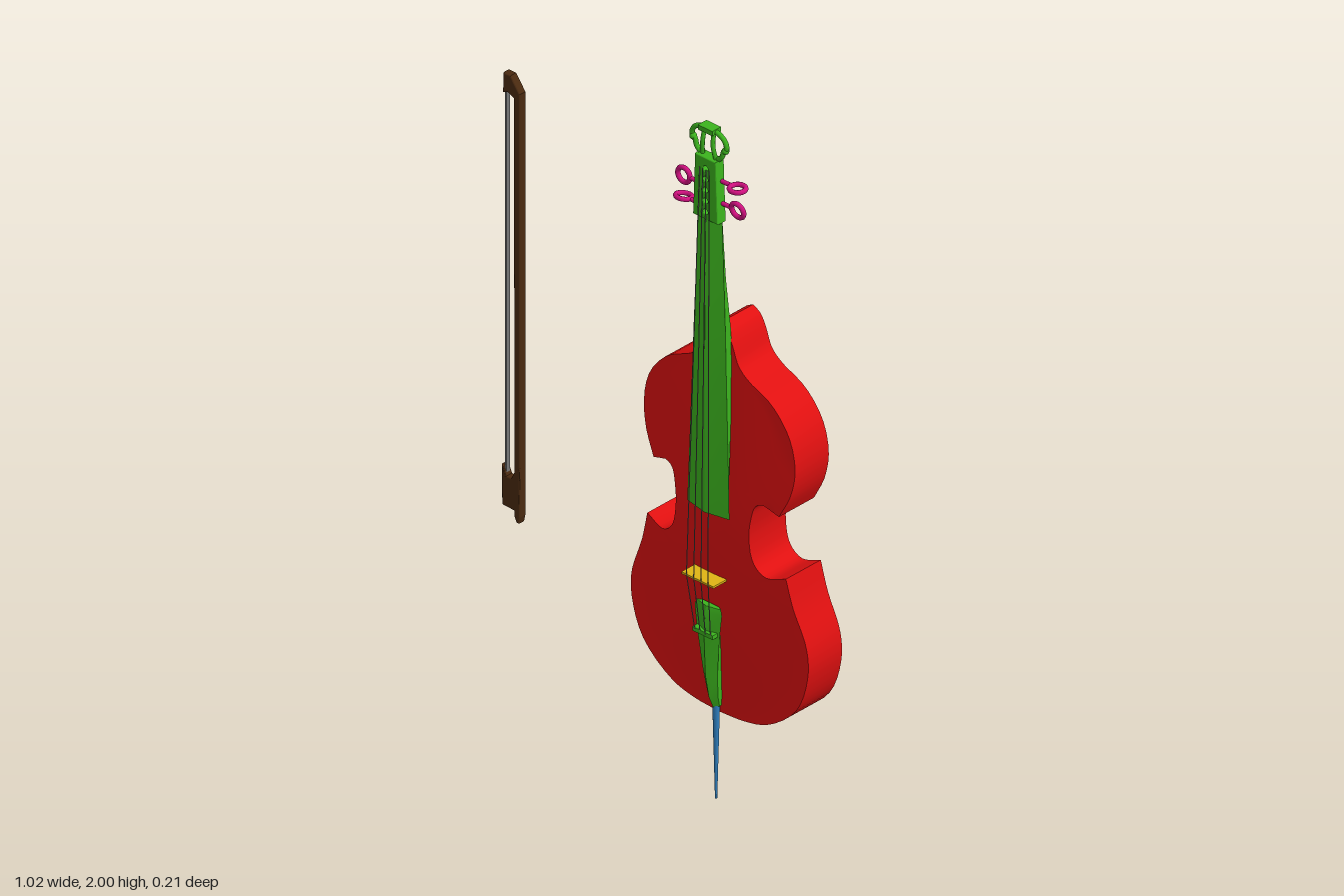
import * as THREE from 'three';
import { toCreasedNormals } from 'three/addons/utils/BufferGeometryUtils.js';

const paint = (color) => new THREE.MeshStandardMaterial({ color, side: THREE.DoubleSide });
const RED = paint(0xe01010), GREEN = paint(0x3cb41e), PINK = paint(0xd0107f), YELLOW = paint(0xe0b414);
const BLUE = paint(0x2f80c0), BROWN = paint(0x4a2a10), GREY = paint(0x777777);
const V = (x, y, z) => new THREE.Vector3(x, y, z);

function add(parent, name, geometry, material, x = 0, y = 0, z = 0) {
  const mesh = new THREE.Mesh(geometry, material);
  mesh.name = name;
  mesh.position.set(x, y, z);
  parent.add(mesh);
  return mesh;
}

// Collects triangles and quads, then smooths all but the sharp edges
function surface(build, crease) {
  const pos = [];
  const tri = (...p) => p.forEach((v) => pos.push(v.x, v.y, v.z));
  const quad = (a, b, c, d, flip) => {
    if (flip) [b, d] = [d, b];
    tri(a, b, c);
    tri(a, c, d);
  };
  build(quad, tri);
  const g = new THREE.BufferGeometry();
  g.setAttribute('position', new THREE.Float32BufferAttribute(pos, 3));
  g.computeVertexNormals();
  return toCreasedNormals(g, crease);
}

// Straight thin rod between two points
function rod(parent, name, a, b, r, material) {
  const mesh = add(parent, name, new THREE.CylinderGeometry(r, r, a.distanceTo(b), 8), material);
  mesh.position.copy(a).lerp(b, 0.5);
  mesh.quaternion.setFromUnitVectors(V(0, 1, 0), b.clone().sub(a).normalize());
}

// Half outline: x, y and the height on the centre line it joins across the plate
function bodyGeometry() {
  const bouts = [
    [[0, 0.25, 0.25], [0.085, 0.256, 0.26], [0.165, 0.278, 0.29], [0.265, 0.36, 0.37], [0.305, 0.47, 0.45],
      [0.303, 0.55, 0.5], [0.262, 0.66, 0.56], [0.24, 0.745, 0.6]],
    [[0.24, 0.745, 0.6], [0.18, 0.727, 0.66], [0.142, 0.755, 0.72], [0.127, 0.82, 0.8], [0.131, 0.88, 0.87],
      [0.145, 0.925, 0.92], [0.175, 0.936, 0.96], [0.217, 0.92, 1.0]],
    [[0.217, 0.92, 1.0], [0.25, 0.99, 1.04], [0.262, 1.07, 1.09], [0.24, 1.16, 1.16], [0.18, 1.23, 1.22],
      [0.1, 1.27, 1.27], [0.065, 1.3, 1.3], [0.045, 1.35, 1.34], [0.025, 1.385, 1.38], [0, 1.4, 1.4]],
  ];
  const outline = bouts.flatMap((b, i) => {
    const pts = new THREE.CatmullRomCurve3(b.map((p) => V(...p)), false, 'centripetal').getPoints(28);
    return i ? pts.slice(1) : pts;
  });
  // Front is arched, back is slightly dished
  const dome = (x, y) => Math.max(0, 1 - Math.hypot(x / 0.31, (y - 0.78) / 0.53) ** 1.3);
  const front = (x, y) => V(x, y, 0.02 + 0.04 * dome(x, y));
  const back = (x, y) => V(x, y, -0.105 + 0.022 * dome(x, y));
  const steps = 8;
  return surface((quad) => {
    for (const s of [1, -1]) {
      for (let i = 0; i < outline.length - 1; i++) {
        const at = (k, j, plate) => {
          const p = outline[k], t = j / steps;
          return plate(s * p.x * (1 - t), p.y + (p.z - p.y) * t);
        };
        for (let j = 0; j < steps; j++) {
          for (const plate of [front, back]) {
            quad(at(i, j, plate), at(i + 1, j, plate), at(i + 1, j + 1, plate), at(i, j + 1, plate),
              (s > 0) !== (plate === front));
          }
        }
        quad(at(i, 0, front), at(i, 0, back), at(i + 1, 0, back), at(i + 1, 0, front), s < 0);
      }
    }
  }, 0.6);
}

// Ridged bar lofted upwards: [y, half width, ridge z, edge z, back z]
function ridgedBar(sections) {
  const rings = sections.map(([y, w, ridge, edge, rear]) =>
    [[-w, edge], [0, ridge], [w, edge], [w * 0.65, rear], [-w * 0.65, rear]].map(([x, z]) => V(x, y, z)));
  return surface((quad, tri) => {
    for (let i = 0; i < rings.length - 1; i++) {
      for (let k = 0; k < 5; k++) {
        const n = (k + 1) % 5;
        quad(rings[i][k], rings[i][n], rings[i + 1][n], rings[i + 1][k]);
      }
    }
    const low = rings[0], top = rings[rings.length - 1];
    for (let k = 1; k < 4; k++) {
      tri(low[0], low[k + 1], low[k]);
      tri(top[0], top[k], top[k + 1]);
    }
  }, 0.4);
}

function plate(points, depth, bevel = 0, holes = []) {
  const shape = new THREE.Shape(points.map(([x, y]) => new THREE.Vector2(x, y)));
  for (const [x, y, r] of holes) shape.holes.push(new THREE.Path().absarc(x, y, r, 0, Math.PI * 2, true));
  return new THREE.ExtrudeGeometry(shape, {
    depth: depth - 2 * bevel, bevelEnabled: bevel > 0, bevelSize: bevel, bevelThickness: bevel,
    bevelOffset: -bevel, bevelSegments: 3, curveSegments: 8,
  }).translate(0, 0, bevel);
}

function tube(points, r) {
  return new THREE.TubeGeometry(new THREE.CatmullRomCurve3(points), 20, r, 8);
}

export function createModel() {
  const model = new THREE.Group();

  const instrument = new THREE.Group();
  instrument.name = 'instrument';
  instrument.position.x = 0.2;
  model.add(instrument);

  add(instrument, 'body', bodyGeometry(), RED);

  // Neck with fingerboard
  add(instrument, 'neck', ridgedBar([
    [0.865, 0.073, 0.077, 0.062, 0.052], [0.95, 0.07, 0.077, 0.061, 0.045], [1.3, 0.058, 0.076, 0.058, 0.012],
    [1.4, 0.055, 0.075, 0.057, 0.017], [1.55, 0.049, 0.074, 0.056, 0.031], [1.73, 0.043, 0.074, 0.056, 0.04],
  ]), GREEN);

  // Pegbox with a row of openings
  const holes = [0, 1, 2, 3, 4].map((i) => [0, 1.752 + i * 0.032, 0.008]);
  add(instrument, 'pegbox', plate([[-0.043, 1.73], [0.043, 1.73], [0.036, 1.912], [-0.036, 1.912]], 0.032, 0.003, holes),
    GREEN, 0, 0, 0.042);

  // Open carved head
  const head = new THREE.Group();
  head.name = 'head';
  instrument.add(head);
  for (const s of [-1, 1]) {
    add(head, 'headCurl', tube([V(s * 0.03, 1.912, 0.058), V(s * 0.044, 1.925, 0.058), V(s * 0.05, 1.945, 0.058),
      V(s * 0.06, 1.955, 0.058), V(s * 0.052, 1.977, 0.058), V(s * 0.025, 1.991, 0.058), V(0, 1.993, 0.058)], 0.007), GREEN);
    add(head, 'headBar', tube([V(s * 0.024, 1.905, 0.058), V(s * 0.018, 1.95, 0.064), V(s * 0.016, 1.99, 0.058)], 0.006), GREEN);
    add(head, 'headKnob', new THREE.SphereGeometry(0.01, 12, 8), GREEN, s * 0.056, 1.948, 0.058);
  }
  add(head, 'headCap', new THREE.BoxGeometry(0.05, 0.014, 0.032), GREEN, 0, 1.993, 0.058);

  // Pegs: side, height, turn of the ring
  for (const [s, y, turn] of [[-1, 1.815, 0], [-1, 1.752, 1.4], [1, 1.85, Math.PI / 2], [1, 1.785, 0.15]]) {
    const peg = new THREE.Group();
    peg.name = 'peg';
    peg.position.set(0, y, 0.053);
    peg.rotation.x = turn;
    instrument.add(peg);
    rod(peg, 'pegShaft', V(s * 0.015, 0, 0), V(s * 0.074, 0, 0), 0.006, PINK);
    add(peg, 'pegRing', new THREE.TorusGeometry(0.021, 0.007, 8, 24), PINK, s * 0.093, 0, 0);
  }

  // Tailpiece and end pin
  add(instrument, 'tailpiece', ridgedBar([
    [0.275, 0.012, 0.045, 0.033, 0.018], [0.31, 0.018, 0.06, 0.045, 0.02], [0.38, 0.025, 0.073, 0.055, 0.03],
    [0.5, 0.039, 0.078, 0.062, 0.045], [0.57, 0.047, 0.074, 0.062, 0.05], [0.585, 0.042, 0.07, 0.06, 0.052],
  ]), GREEN);
  add(instrument, 'tailpieceRail', new THREE.BoxGeometry(0.07, 0.012, 0.018), GREEN, 0, 0.51, 0.075);
  add(instrument, 'endPin', new THREE.CylinderGeometry(0.01, 0.003, 0.28, 12), BLUE, 0, 0.14, 0.033);

  // Bridge and strings
  add(instrument, 'bridge', new THREE.BoxGeometry(0.11, 0.006, 0.053), YELLOW, 0, 0.675, 0.0765);
  for (const k of [-1.5, -0.5, 0.5, 1.5]) {
    const top = V(k * 0.025, 0.678, 0.103);
    rod(instrument, 'string', V(k * 0.018, 0.51, 0.083), top, 0.0013, GREY);
    rod(instrument, 'string', top, V(k * 0.011, 1.88, 0.077), 0.0013, GREY);
  }

  // Bow
  const bow = new THREE.Group();
  bow.name = 'bow';
  bow.position.z = 0.047;
  model.add(bow);
  add(bow, 'bowStick', plate([[-0.465, 0.575], [-0.458, 0.56], [-0.45, 0.56], [-0.446, 0.58], [-0.446, 1.83],
    [-0.468, 1.83]], 0.024, 0.004), BROWN);
  add(bow, 'bowTip', plate([[-0.505, 1.815], [-0.488, 1.822], [-0.468, 1.812], [-0.446, 1.81], [-0.446, 1.832],
    [-0.478, 1.875], [-0.503, 1.875]], 0.024, 0.004), BROWN);
  add(bow, 'bowFrog', plate([[-0.508, 0.595], [-0.446, 0.592], [-0.446, 0.725], [-0.464, 0.71], [-0.476, 0.685],
    [-0.492, 0.685], [-0.508, 0.715]], 0.024, 0.004), BROWN);
  add(bow, 'bowHair', new THREE.BoxGeometry(0.006, 1.14, 0.012), GREY, -0.499, 1.255, 0.012);

  return model;
}
